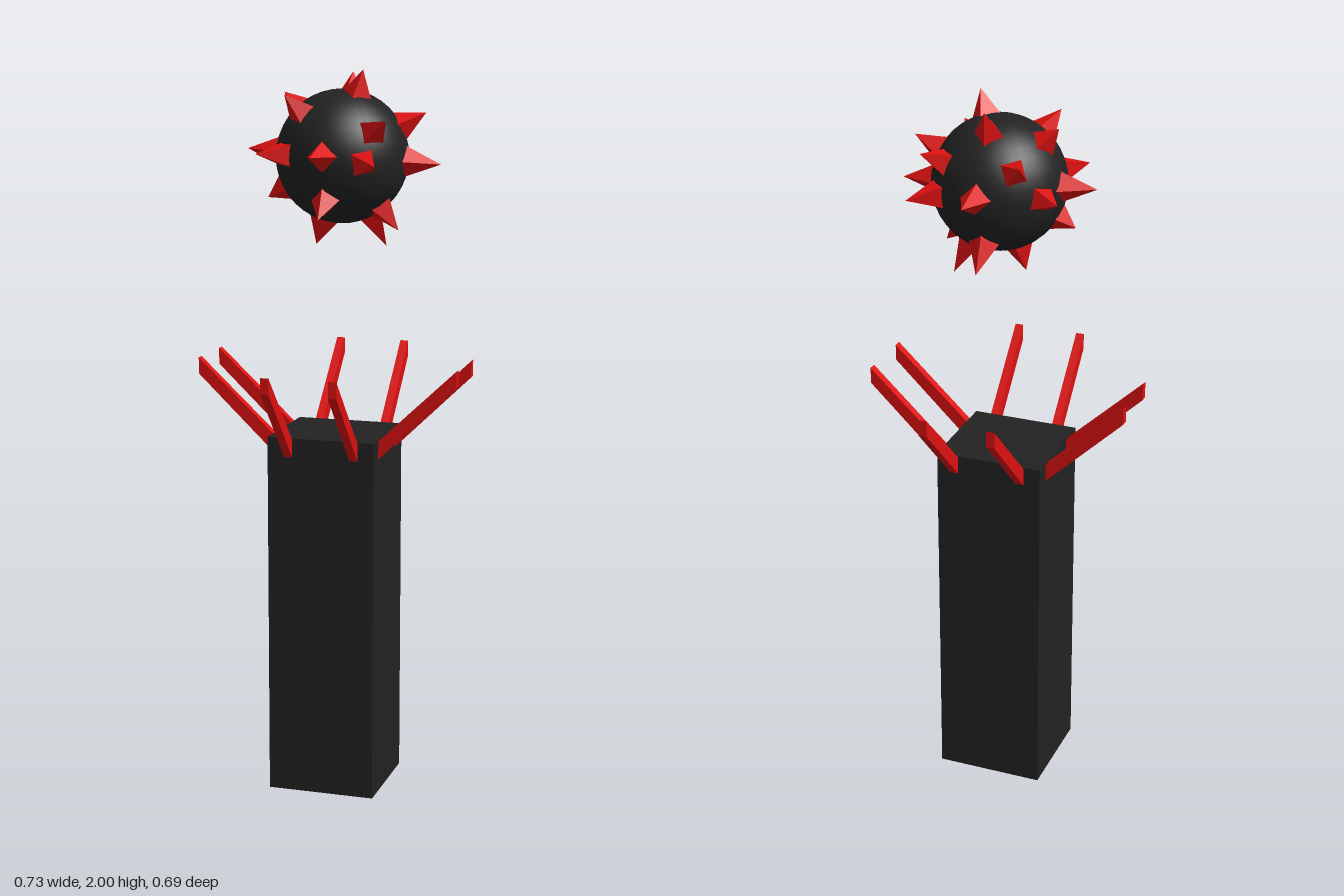
import * as THREE from 'three';

const dark = new THREE.MeshStandardMaterial({ color: 0x222222 });
const red = new THREE.MeshStandardMaterial({ color: 0xdd1111, flatShading: true });

// Slanted bar with upright ends, running outward along +x
function prongGeometry(start, end) {
  const w = 0.023;
  const shape = new THREE.Shape([
    new THREE.Vector2(start, 0.955), new THREE.Vector2(end, 1.165),
    new THREE.Vector2(end, 1.21), new THREE.Vector2(start, 1.005),
  ]);
  return new THREE.ExtrudeGeometry(shape, { depth: w, bevelEnabled: false }).translate(0, 0, -w / 2);
}

export function createModel() {
  const model = new THREE.Group();
  const add = (name, geometry, material, parent = model) => {
    const mesh = new THREE.Mesh(geometry, material);
    mesh.name = name;
    parent.add(mesh);
    return mesh;
  };

  // Square pillar
  add('pillar', new THREE.BoxGeometry(0.3, 1.01, 0.285), dark).position.set(0, 0.505, 0.0075);

  // Two prongs on each side: heading, start, end, sideways positions
  const prongs = new THREE.Group();
  prongs.name = 'prongs';
  model.add(prongs);
  const sides = [
    ['left', 0, 0.148, 0.365, [-0.078, 0.091]],
    ['right', Math.PI, 0.148, 0.367, [-0.078, 0.085]],
    ['front', -Math.PI / 2, 0.148, 0.345, [-0.091, 0.094]],
    ['back', Math.PI / 2, 0.133, 0.345, [-0.091, 0.1]],
  ];
  for (const [side, heading, start, end, offsets] of sides) {
    for (const o of offsets) {
      const prong = add(side + 'Prong', prongGeometry(start, end), red, prongs);
      prong.rotation.y = heading;
      if (side === 'left' || side === 'right') prong.position.z = o;
      else prong.position.x = o;
    }
  }

  // Floating ball
  const centre = new THREE.Vector3(0.017, 1.763, -0.002);
  add('ball', new THREE.SphereGeometry(0.18, 32, 20), dark).position.copy(centre);

  // Spike tips: level ring, upper spikes, lower spikes
  const tips = [
    [0.012, 1.778, 0.272], [0.012, 1.778, -0.278], [0.288, 1.746, -0.01], [-0.255, 1.778, -0.01],
    [0.202, 1.75, -0.194], [0.168, 1.755, 0.217], [-0.166, 1.778, 0.188], [-0.19, 1.765, -0.131],
    [0.087, 1.995, 0.042], [0.01, 1.984, -0.127], [-0.153, 1.931, -0.022], [-0.1, 1.931, 0.141],
    [-0.11, 1.87, -0.188], [0.237, 1.88, -0.045], [0.184, 1.868, 0.164], [0.172, 1.87, -0.165],
    [0.01, 1.61, 0.2], [0.01, 1.571, -0.19], [0.183, 1.571, 0.03], [-0.184, 1.65, 0.03],
    [0.124, 1.518, -0.063], [-0.055, 1.524, 0.005],
  ];
  const spikes = new THREE.Group();
  spikes.name = 'spikes';
  model.add(spikes);
  const up = new THREE.Vector3(0, 1, 0);
  const root = 0.165;
  for (const tip of tips) {
    const dir = new THREE.Vector3(...tip).sub(centre);
    const length = dir.length() - root;
    dir.normalize();
    const geometry = new THREE.ConeGeometry(0.045, length, 4).translate(0, root + length / 2, 0);
    const spike = add('spike', geometry, red, spikes);
    spike.position.copy(centre);
    spike.quaternion.setFromUnitVectors(up, dir);
  }
  return model;
}
